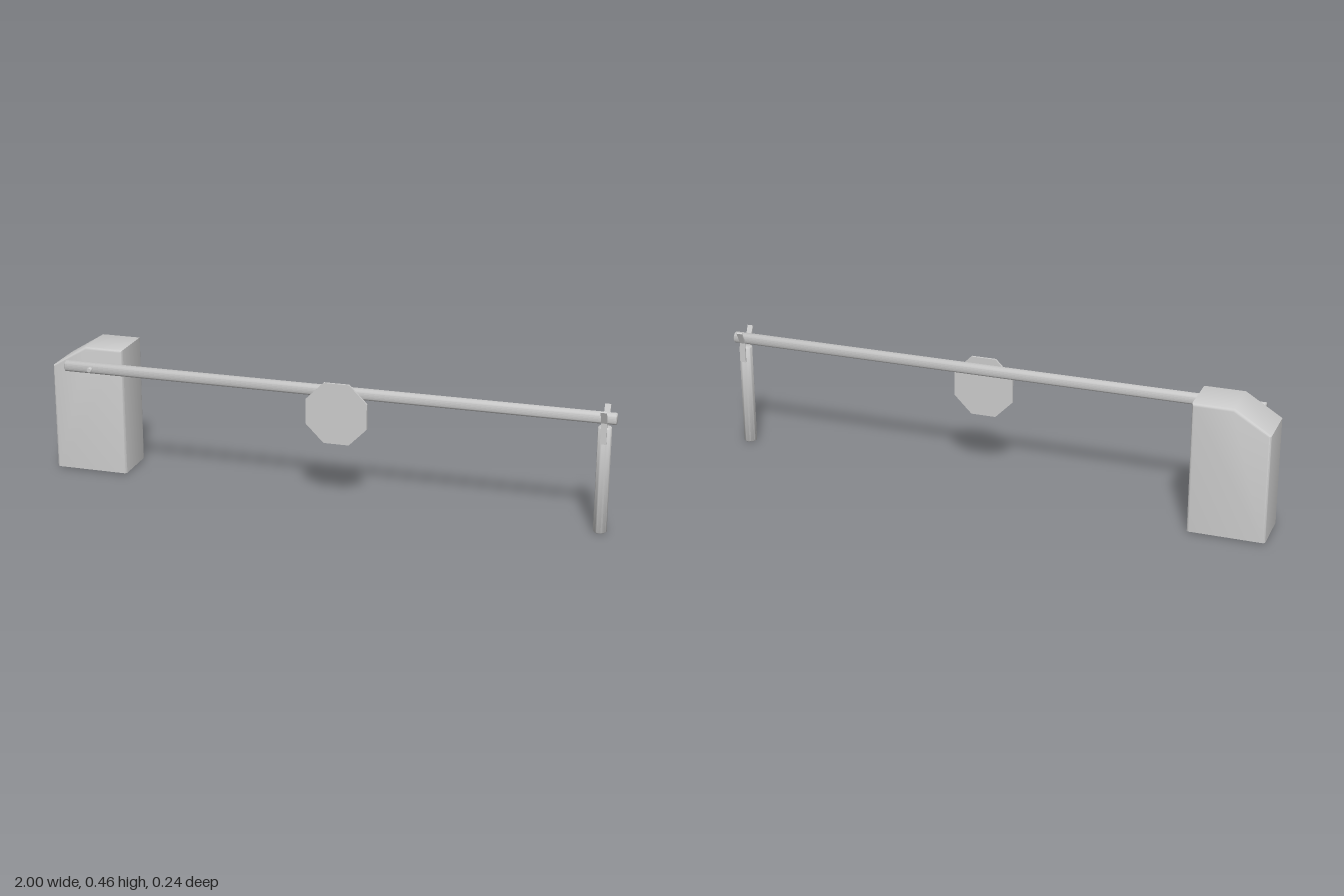
import * as THREE from 'three';
import { mergeVertices, toCreasedNormals } from 'three/addons/utils/BufferGeometryUtils.js';

const ARM_Y = 0.398, ARM_Z = 0.075, POST_X = 0.96;

export function createModel() {
  const group = new THREE.Group();
  const grey = new THREE.MeshStandardMaterial({ color: 0xcccccc });
  const greyDouble = new THREE.MeshStandardMaterial({ color: 0xcccccc, side: THREE.DoubleSide });
  const add = (name, geometry, material = grey) => {
    const mesh = new THREE.Mesh(geometry, material);
    mesh.name = name;
    group.add(mesh);
    return mesh;
  };
  const shapeOf = (points) => new THREE.Shape(points.map(([x, y]) => new THREE.Vector2(x, y)));

  // Round bar with slightly eased ends, along +y from 0
  const bar = (radius, length, ease, segments = 24) => toCreasedNormals(new THREE.LatheGeometry([
    [0, 0], [radius - ease, 0], [radius, ease],
    [radius, length - ease], [radius - ease, length], [0, length],
  ].map(([x, y]) => new THREE.Vector2(x, y)), segments), 0.9);

  // Cabinet: sloped-top housing with eased front and back edges, open underneath
  add('cabinet', cabinetGeometry(shapeOf([
    [-1, -0.03], [-0.735, -0.03], [-0.735, 0.462], [-0.875, 0.462], [-1, 0.385],
  ])), greyDouble);

  // Boom arm and its pivot pin
  const arm = add('boomArm', bar(0.02, 1.936, 0.002));
  arm.rotation.z = -Math.PI / 2;
  arm.position.set(-0.938, ARM_Y, ARM_Z);

  const pin = add('pivotPin', bar(0.008, 0.068, 0.001, 16));
  pin.rotation.x = Math.PI / 2;
  pin.position.set(-0.838, ARM_Y, 0.04);

  // Octagonal sign plate on the front of the arm
  const plate = new THREE.CylinderGeometry(0.116, 0.116, 0.008, 8).toNonIndexed();
  plate.rotateY(Math.PI / 8).rotateX(Math.PI / 2).computeVertexNormals();
  add('signPlate', plate).position.set(0.058, 0.327, 0.099);

  // Rest post
  add('restPost', bar(0.023, 0.368, 0.003)).position.set(POST_X, 0, ARM_Z);

  // Fork: two bent strips holding the arm, flaring outwards at the top
  const width = 0.02;
  for (const side of [1, -1]) {
    const strip = shapeOf([
      [0.021, 0.315], [0.026, 0.315], [0.026, 0.387], [0.047, 0.43],
      [0.042, 0.433], [0.021, 0.389],
    ].map(([z, y]) => [z * side, y]));
    const prong = new THREE.ExtrudeGeometry(strip, { depth: width, bevelEnabled: false });
    prong.translate(0, 0, -width / 2).rotateY(-Math.PI / 2);
    add(side > 0 ? 'frontProng' : 'backProng', prong).position.set(POST_X, 0, ARM_Z);
  }
  return group;
}

function cabinetGeometry(profile) {
  const ease = 0.009, floor = 0.005;
  const front = 0.051, back = -0.121;
  const geometry = new THREE.ExtrudeGeometry(profile, {
    depth: front - back - 2 * ease, bevelThickness: ease, bevelSize: ease,
    bevelOffset: -ease, bevelSegments: 3,
  });
  geometry.translate(0, 0, back + ease);

  // Trim the foot level and drop the faces lying in it
  const source = geometry.attributes.position, kept = [];
  for (let i = 0; i < source.count; i += 3) {
    const corners = [0, 1, 2].map((k) => new THREE.Vector3().fromBufferAttribute(source, i + k));
    if (corners.every((c) => c.y < floor)) continue;
    for (const c of corners) kept.push(c.x, Math.max(c.y, floor), c.z);
  }
  const trimmed = new THREE.BufferGeometry();
  trimmed.setAttribute('position', new THREE.Float32BufferAttribute(kept, 3));
  return toCreasedNormals(mergeVertices(trimmed), 0.7);
}
